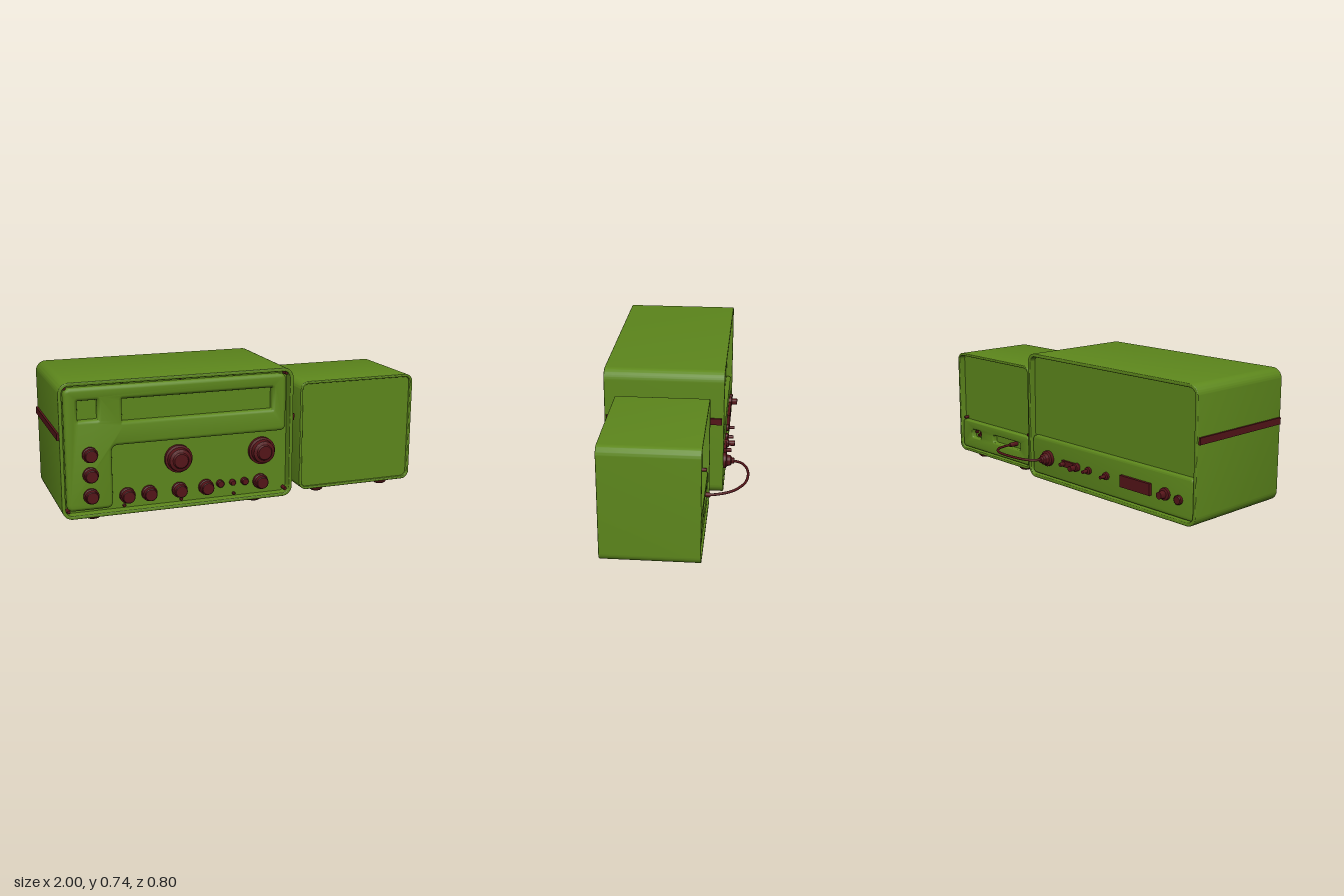
import * as THREE from 'three';
import { toCreasedNormals } from 'three/addons/utils/BufferGeometryUtils.js';

const green = new THREE.MeshStandardMaterial({ color: 0x5d871c });
const red = new THREE.MeshStandardMaterial({ color: 0x541418 });

// Rounded rectangle outline between two corners
function roundRect(x0, x1, y0, y1, r, Type = THREE.Shape) {
  const s = new Type();
  s.moveTo(x0 + r, y0);
  s.lineTo(x1 - r, y0);
  s.absarc(x1 - r, y0 + r, r, -Math.PI / 2, 0);
  s.lineTo(x1, y1 - r);
  s.absarc(x1 - r, y1 - r, r, 0, Math.PI / 2);
  s.lineTo(x0 + r, y1);
  s.absarc(x0 + r, y1 - r, r, Math.PI / 2, Math.PI);
  s.lineTo(x0, y0 + r);
  s.absarc(x0 + r, y0 + r, r, Math.PI, Math.PI * 1.5);
  return s;
}

// Outline with rounded corners from a list of points
function roundPoly(pts, r) {
  const s = new THREE.Shape();
  const v = pts.map(p => new THREE.Vector2(...p));
  v.forEach((p, i) => {
    const prev = v[(i + v.length - 1) % v.length], next = v[(i + 1) % v.length];
    const a = prev.clone().sub(p).setLength(r).add(p);
    const b = next.clone().sub(p).setLength(r).add(p);
    if (i === 0) s.moveTo(a.x, a.y); else s.lineTo(a.x, a.y);
    s.quadraticCurveTo(p.x, p.y, b.x, b.y);
  });
  s.closePath();
  return s;
}

export function createModel() {
  const root = new THREE.Group();

  function add(parent, name, geo, mat, x = 0, y = 0, z = 0) {
    const m = new THREE.Mesh(geo, mat);
    m.name = name;
    m.position.set(x, y, z);
    parent.add(m);
    return m;
  }

  // Plate from z0 to z1; a bevel is cut on both faces, inside the outline
  function plate(parent, name, shape, z0, z1, bevel = 0, depthBevel = bevel) {
    const geo = new THREE.ExtrudeGeometry(shape, {
      depth: z1 - z0 - 2 * depthBevel, curveSegments: 8, bevelEnabled: bevel > 0,
      bevelSize: bevel, bevelThickness: depthBevel, bevelOffset: -bevel, bevelSegments: 3,
    });
    return add(parent, name, toCreasedNormals(geo, 0.6), green, 0, 0, z0 + depthBevel);
  }

  function box(parent, name, w, h, d, x, y, z, mat = red) {
    return add(parent, name, new THREE.BoxGeometry(w, h, d), mat, x, y, z);
  }

  // Turned part along z; profile is [radius, distance] and dir is +1 front or -1 back
  function turned(parent, name, profile, x, y, z, dir = 1, seg = 24) {
    const geo = new THREE.LatheGeometry(profile.map(p => new THREE.Vector2(...p)), seg);
    const m = add(parent, name, toCreasedNormals(geo, 0.6), red, x, y, z);
    m.rotation.x = dir * Math.PI / 2;
    return m;
  }

  const knobProfile = (r, h) => [[r, 0], [r, h * 0.35], [r * 0.85, h * 0.42], [r * 0.8, h * 0.94], [r * 0.72, h], [0, h]];
  const stud = (r, h) => [[r, 0], [r, h * 0.8], [r * 0.8, h], [0, h]];

  // Open sleeve with a rounded front and back lip
  function sleeve(parent, x0, x1, y0, y1, z0, z1, r, t) {
    const s = roundRect(x0, x1, y0, y1, r);
    s.holes.push(roundRect(x0 + t, x1 - t, y0 + t, y1 - t, r - t, THREE.Path));
    plate(parent, 'caseSleeve', s, z0, z1, 0.004);
  }

  function feet(parent, xs, zs, r, h) {
    const pts = [[0, 0], [r * 0.65, 0], [r * 0.85, h * 0.2], [r, h * 0.6], [r, h + 0.01]];
    for (const x of xs) for (const z of zs)
      add(parent, 'foot', new THREE.LatheGeometry(pts.map(p => new THREE.Vector2(...p)), 24), red, x, 0, z);
  }

  // ---- Main unit ----
  const unit = new THREE.Group();
  unit.name = 'mainUnit';
  root.add(unit);
  sleeve(unit, -0.988, 0.25, 0.037, 0.735, -0.262, 0.375, 0.055, 0.018);
  plate(unit, 'frontPanel', roundRect(-0.972, 0.234, 0.053, 0.719, 0.038), 0.29, 0.322);

  // Raised L-shaped fascia with two sunken windows
  const fascia = roundPoly([[-0.958, 0.07], [-0.722, 0.07], [-0.722, 0.395], [0.218, 0.395], [0.218, 0.702], [-0.958, 0.702]], 0.035);
  fascia.holes.push(roundRect(-0.89, -0.79, 0.535, 0.635, 0.004, THREE.Path));
  fascia.holes.push(roundRect(-0.665, 0.14, 0.515, 0.63, 0.004, THREE.Path));
  plate(unit, 'fascia', fascia, 0.29, 0.358, 0.018);

  // Front screws
  for (const y of [0.067, 0.713]) for (const x of [-0.66, -0.355, -0.065])
    turned(unit, 'panelScrew', stud(0.009, 0.01), x, y, 0.322, 1, 12);
  for (const x of [-0.953, 0.217]) for (const y of [0.073, 0.705])
    turned(unit, 'cornerScrew', stud(0.01, 0.038), x, y, 0.322, 1, 12);

  // Knobs and jacks
  for (const y of [0.147, 0.257, 0.362])
    turned(unit, 'fasciaKnob', knobProfile(0.04, 0.044), -0.837, y, 0.357);
  for (const x of [-0.37, 0.09]) {
    turned(unit, 'tuningKnob', knobProfile(0.073, 0.055), x, 0.29, 0.322, 1, 40);
    turned(unit, 'tuningKnobCap', stud(0.045, 0.064), x, 0.29, 0.322, 1, 32);
  }
  for (const x of [-0.643, -0.527, -0.365, -0.22, 0.085])
    turned(unit, 'controlKnob', knobProfile(0.041, 0.048), x, 0.12, 0.322);
  for (const [x, r] of [[-0.142, 0.02], [-0.073, 0.016], [-0.005, 0.02]])
    turned(unit, 'switchKnob', stud(r, 0.025), x, 0.13, 0.322, 1, 16);

  // Side strips
  for (const x of [-0.99, 0.252])
    box(unit, 'sideStrip', 0.018, 0.035, 0.615, x, 0.467, 0.0575);

  // Rear panel and connector strip
  plate(unit, 'rearPanel', roundRect(-0.972, 0.234, 0.053, 0.719, 0.038), -0.225, -0.19);
  plate(unit, 'rearStrip', roundRect(-0.965, 0.227, 0.06, 0.275, 0.025), -0.252, -0.19, 0.012);
  turned(unit, 'cableSocket', [[0.043, 0], [0.043, 0.02], [0.032, 0.026], [0.028, 0.045], [0.018, 0.052], [0.015, 0.065], [0, 0.065]], 0.09, 0.167, -0.25, -1);
  box(unit, 'switchPlate', 0.13, 0.034, 0.016, -0.095, 0.165, -0.258);
  turned(unit, 'rearSwitch', stud(0.012, 0.045), -0.05, 0.165, -0.25, -1, 12);
  turned(unit, 'rearSwitch', [[0.022, 0], [0.022, 0.025], [0.015, 0.028], [0.015, 0.06], [0, 0.06]], -0.145, 0.165, -0.25, -1, 16);
  for (const x of [-0.235, -0.37])
    turned(unit, 'terminalPost', [[0.02, 0], [0.02, 0.016], [0.01, 0.02], [0.009, 0.05], [0, 0.05]], x, 0.165, -0.25, -1, 16);
  box(unit, 'multiPinPlate', 0.21, 0.062, 0.018, -0.585, 0.165, -0.259);
  turned(unit, 'antennaSocket', [[0.032, 0], [0.032, 0.016], [0.02, 0.02], [0.018, 0.052], [0, 0.052]], -0.785, 0.165, -0.25, -1);
  turned(unit, 'groundTerminal', stud(0.024, 0.02), -0.875, 0.155, -0.25, -1, 16);
  feet(unit, [-0.81, 0.073], [0.257, -0.143], 0.05, 0.035);

  // ---- Speaker box ----
  const speaker = new THREE.Group();
  speaker.name = 'speakerBox';
  root.add(speaker);
  sleeve(speaker, 0.325, 1.0, 0.034, 0.637, -0.193, 0.3, 0.045, 0.015);
  plate(speaker, 'grille', roundRect(0.338, 0.987, 0.047, 0.624, 0.032), 0.25, 0.285);
  plate(speaker, 'rearPanel', roundRect(0.338, 0.987, 0.047, 0.624, 0.032), -0.155, -0.12);
  const strip = roundRect(0.347, 0.978, 0.056, 0.225, 0.02);
  strip.holes.push(roundRect(0.8, 0.885, 0.125, 0.175, 0.012, THREE.Path));
  strip.holes.push(roundRect(0.425, 0.68, 0.13, 0.175, 0.012, THREE.Path));
  plate(speaker, 'rearStrip', strip, -0.185, -0.13, 0.008);
  for (const [x, y] of [[0.82, 0.16], [0.842, 0.142], [0.865, 0.16]])
    box(speaker, 'socketPin', 0.014, 0.014, 0.02, x, y, -0.16);
  for (const x of [0.36, 0.965])
    turned(speaker, 'rearScrew', stud(0.009, 0.025), x, 0.235, -0.155, -1, 12);
  feet(speaker, [0.463, 0.86], [0.217, -0.11], 0.042, 0.033);

  // ---- Linking cable ----
  turned(root, 'cablePlug', stud(0.013, 0.055), 0.49, 0.155, -0.153, -1, 16);
  const path = new THREE.CatmullRomCurve3([
    [0.49, 0.155, -0.19], [0.485, 0.157, -0.24], [0.45, 0.162, -0.32], [0.37, 0.169, -0.38], [0.27, 0.172, -0.396],
    [0.17, 0.17, -0.381], [0.115, 0.168, -0.35], [0.09, 0.167, -0.3],
  ].map(p => new THREE.Vector3(...p)));
  add(root, 'cable', new THREE.TubeGeometry(path, 48, 0.007, 10), red);

  return root;
}
